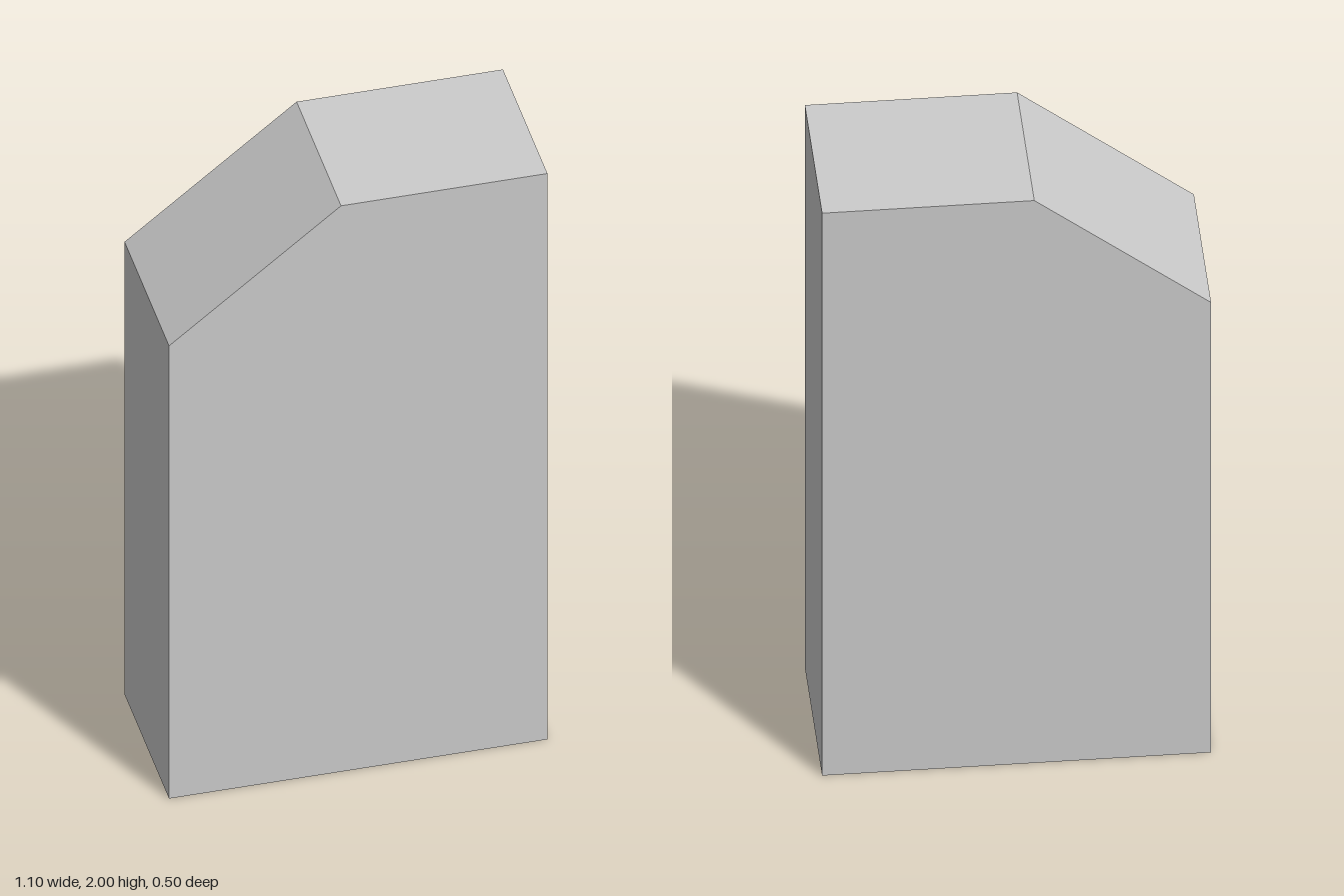
import * as THREE from 'three';

const HALF_WIDTH = 0.55;
const HEIGHT = 2;
const DEPTH = 0.5;

export function createModel() {
  const group = new THREE.Group();
  group.name = 'chamferedBlock';

  // Upright slab outline with one sloped top corner
  const outline = new THREE.Shape([
    new THREE.Vector2(-HALF_WIDTH, 0),
    new THREE.Vector2(HALF_WIDTH, 0),
    new THREE.Vector2(HALF_WIDTH, HEIGHT),
    new THREE.Vector2(-0.05, HEIGHT),
    new THREE.Vector2(-HALF_WIDTH, 1.6),
  ]);

  const geometry = new THREE.ExtrudeGeometry(outline, { depth: DEPTH, bevelEnabled: false });
  geometry.translate(0, 0, -DEPTH / 2);

  const block = new THREE.Mesh(
    geometry,
    new THREE.MeshStandardMaterial({ color: 0xcccccc, flatShading: true })
  );
  block.name = 'block';
  group.add(block);

  return group;
}
